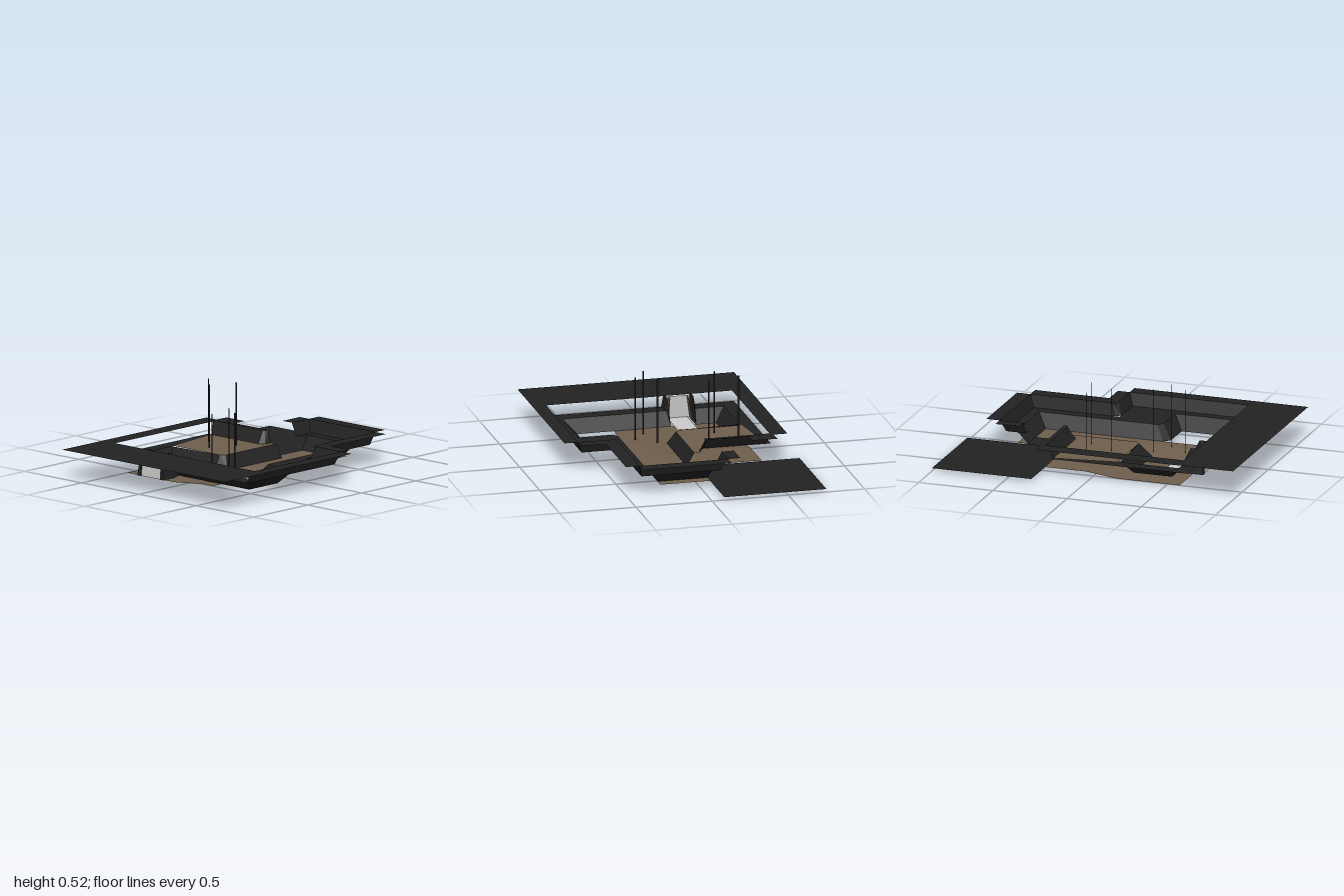
import * as THREE from 'three';

const FLOOR = 0.025, LEDGE = 0.11, TOP = 0.19;

function material(name, color) {
  const m = new THREE.MeshStandardMaterial({ color, side: THREE.DoubleSide, flatShading: true });
  m.name = name;
  return m;
}

// Horizontal polygon given as [x, z] points
function flat(points, y) {
  const shape = new THREE.Shape(points.map(([x, z]) => new THREE.Vector2(x, z)));
  return new THREE.ShapeGeometry(shape).rotateX(Math.PI / 2).translate(0, y, 0);
}

const rect = (x0, x1, z0, z1, y) => flat([[x0, z0], [x1, z0], [x1, z1], [x0, z1]], y);

// Ruled wall between a lower and an upper [x, z] path
function wall(low, high, y0, y1) {
  const pos = [];
  for (let i = 0; i < low.length - 1; i++) {
    const a = [low[i][0], y0, low[i][1]], b = [low[i + 1][0], y0, low[i + 1][1]];
    const c = [high[i + 1][0], y1, high[i + 1][1]], d = [high[i][0], y1, high[i][1]];
    pos.push(...a, ...b, ...c, ...a, ...c, ...d);
  }
  const g = new THREE.BufferGeometry();
  g.setAttribute('position', new THREE.Float32BufferAttribute(pos, 3));
  g.computeVertexNormals();
  return g;
}

export function createModel() {
  const root = new THREE.Group();
  const rock = material('dark rock', 0x232323);
  const earth = material('brown earth', 0x705f4d);
  const stone = material('pale stone', 0xcccccc);
  const black = material('pole black', 0x181a18);

  const add = (name, geometry, mat) => {
    const mesh = new THREE.Mesh(geometry, mat);
    mesh.name = name;
    root.add(mesh);
    return mesh;
  };

  // Valley floor, dipping towards the front right-hand corner
  const floor = new THREE.PlaneGeometry(0.75, 0.91, 24, 24).rotateX(-Math.PI / 2).translate(-0.125, 0, 0.125);
  const p = floor.attributes.position;
  for (let i = 0; i < p.count; i++) {
    const tx = THREE.MathUtils.clamp((p.getX(i) + 0.08) / 0.25, 0, 1);
    const tz = THREE.MathUtils.clamp((0.15 - p.getZ(i)) / 0.2, 0, 1);
    p.setY(i, FLOOR * Math.max(tx, tz));
  }
  floor.computeVertexNormals();
  add('valleyFloor', floor, earth);
  add('corridorFloor', rect(-0.08, 0.25, -0.66, -0.33, FLOOR), earth);

  // Low square outside the entrance
  add('outerGround', rect(-0.75, -0.08, -1, -0.33, 0.02), rock);

  // Raised plateau
  add('plateau', flat([[-0.55, -0.26], [-0.11, -0.26], [-0.1, -0.33], [-0.06, -0.33],
    [-0.06, 0.13], [-0.09, 0.16], [-0.5, 0.16]], LEDGE), earth);

  // Lower cliffs, either side of the doorway
  add('plateauCliff', wall(
    [[-0.01, -0.33], [-0.01, 0.17], [-0.06, 0.24], [-0.42, 0.24], [-0.42, 0.5], [-0.29, 0.5]],
    [[-0.06, -0.33], [-0.06, 0.13], [-0.09, 0.16], [-0.49, 0.18], [-0.49, 0.57], [-0.3, 0.57]],
    FLOOR, LEDGE), rock);
  add('valleyCliff', wall(
    [[-0.125, 0.5], [0.49, 0.5], [0.49, 0.24], [0.29, 0.24], [0.25, 0.2], [0.25, -0.59], [-0.08, -0.59]],
    [[-0.115, 0.57], [0.57, 0.57], [0.57, 0.17], [0.35, 0.17], [0.32, 0.14], [0.32, -0.66], [-0.1, -0.66]],
    FLOOR, LEDGE), rock);

  // Middle ledges
  add('leftLedge', flat([[-0.58, -0.26], [-0.55, -0.26], [-0.49, 0.16], [-0.49, 0.57],
    [-0.3, 0.57], [-0.32, 0.66], [-0.58, 0.66]], LEDGE), rock);
  add('mainLedge', flat([[-0.115, 0.57], [0.57, 0.57], [0.57, 0.17], [0.35, 0.17], [0.32, 0.14],
    [0.32, -0.66], [-0.1, -0.66], [-0.08, -0.59], [-0.13, -0.59], [-0.13, -0.72],
    [0.39, -0.72], [0.39, -0.14], [0.63, -0.14], [0.63, 0.66], [-0.1, 0.66]], LEDGE), rock);

  // Upper cliffs
  add('upperCliff', wall(
    [[0.63, 0.67], [0.63, -0.14], [0.42, -0.14], [0.39, -0.18], [0.39, -0.72], [-0.13, -0.72], [-0.13, -0.59]],
    [[0.66, 0.67], [0.66, -0.17], [0.45, -0.17], [0.41, -0.2], [0.41, -0.75], [-0.17, -0.75], [-0.17, -0.59]],
    LEDGE, TOP), rock);
  add('plateauUpperCliff', wall(
    [[-0.55, -0.25], [-0.14, -0.25], [-0.11, -0.28], [-0.1, -0.33]],
    [[-0.58, -0.3], [-0.15, -0.3], [-0.14, -0.31], [-0.13, -0.33]], LEDGE, TOP), rock);

  // Flat rim strips along the top of the cliffs
  const rims = [
    [-0.67, 0.75, 0.63, 1], [-0.67, -0.56, -0.33, 0.63], [0.66, 0.75, -0.17, 0.63],
    [0.41, 0.66, -0.25, -0.17], [0.41, 0.5, -0.75, -0.25], [-0.17, 0.41, -0.84, -0.75],
    [-0.25, -0.17, -0.75, -0.59], [-0.56, -0.13, -0.33, -0.3], [-0.58, -0.42, -0.42, -0.33],
  ];
  rims.forEach((r) => add('rim', rect(...r, TOP), rock));

  // Doorway: pale threshold and door between slanted jambs
  add('threshold', rect(-0.275, -0.145, 0.41, 0.665, FLOOR + 0.004), stone);
  add('door', wall([[-0.29, 0.67], [-0.125, 0.67]], [[-0.29, 0.66], [-0.125, 0.66]], FLOOR, 0.175), stone);
  for (const s of [-1, 1]) {
    const x = (d) => -0.2075 + s * d;
    add('jamb', wall(
      [[x(0.083), 0.5], [x(0.083), 0.675], [x(0.115), 0.675], [x(0.115), 0.58], [x(0.083), 0.5]],
      [[x(0.083), 0.58], [x(0.083), 0.665], [x(0.09), 0.665], [x(0.09), 0.6], [x(0.083), 0.58]],
      FLOOR, TOP - 0.005), rock);
    add('jambLining', wall([[x(0.08), 0.57], [x(0.08), 0.65]], [[x(0.06), 0.6], [x(0.06), 0.65]],
      FLOOR, 0.18), earth);
  }

  // Thin flat poles: x, z, foot, tip
  const poles = [
    [-0.415, -0.08, LEDGE, 0.52], [-0.29, 0.045, LEDGE, 0.52], [-0.21, -0.12, LEDGE, 0.52],
    [0.04, 0.21, 0.02, 0.44], [0.08, 0.41, 0.02, 0.44], [0.165, 0.29, 0.02, 0.44],
  ];
  poles.forEach(([x, z, y0, y1]) => {
    add('pole', new THREE.PlaneGeometry(0.011, y1 - y0).translate(x, (y0 + y1) / 2, z), black);
  });

  return root;
}
